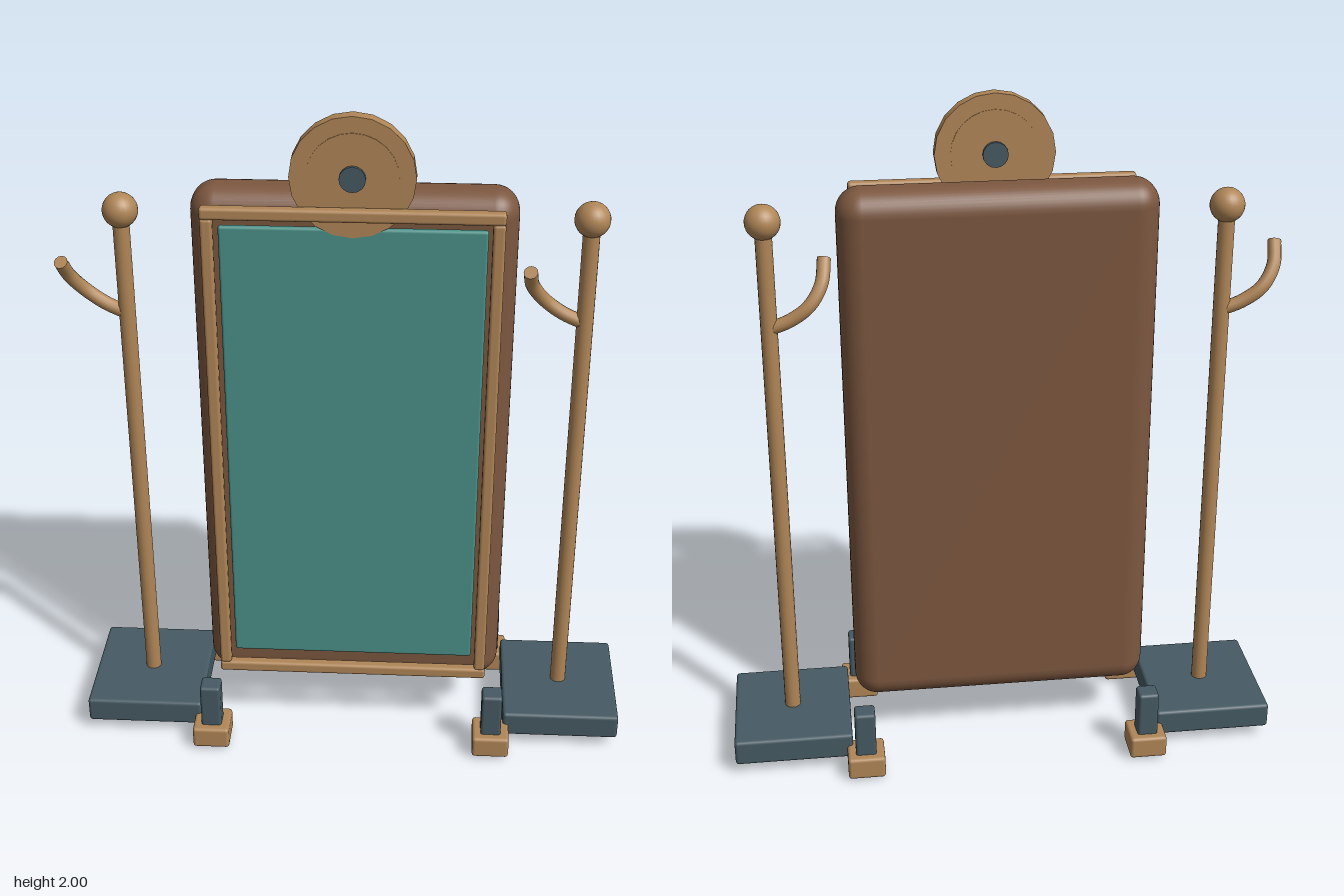
import * as THREE from 'three';
import { RoundedBoxGeometry } from 'three/addons/geometries/RoundedBoxGeometry.js';

const material = (name, color) => {
  const m = new THREE.MeshStandardMaterial({ color });
  m.name = name;
  return m;
};

export function createModel() {
  const wood = material('light wood', 0xb08657);
  const brown = material('dark wood', 0x7c573f);
  const slate = material('slate', 0x465a63);
  const teal = material('teal glass', 0x4a9188);
  const model = new THREE.Group();
  model.name = 'standingMirror';

  const add = (name, geometry, mat, x = 0, y = 0, z = 0, parent = model) => {
    const mesh = new THREE.Mesh(geometry, mat);
    mesh.name = name;
    mesh.position.set(x, y, z);
    parent.add(mesh);
    return mesh;
  };
  const box = (w, h, d, r, seg = 2) => new RoundedBoxGeometry(w, h, d, seg, r);
  const disc = (r, depth, sides) =>
    new THREE.CylinderGeometry(r, r, depth, sides).rotateX(Math.PI / 2);

  // Padded back panel and glass
  add('backPanel', box(0.9, 1.615, 0.16, 0.07, 5), brown, 0, 0.9625, 0);
  add('glass', box(0.73, 1.415, 0.02, 0.008), teal, 0, 0.977, 0.1);

  // Frame bars around the glass
  for (const y of [0.228, 1.732])
    add('frameRail', box(0.82, 0.035, 0.033, 0.009), wood, 0, y, 0.128);
  for (const s of [-1, 1])
    add('frameStile', box(0.034, 1.475, 0.033, 0.009), wood, s * 0.392, 0.98, 0.128);

  // Round crest with a raised face and a knob
  add('crest', disc(0.17, 0.04, 20), wood, 0, 1.83, 0.093);
  add('crestFace', disc(0.125, 0.044, 24), wood, 0, 1.83, 0.093);
  add('crestKnob', disc(0.036, 0.066, 16), slate, 0, 1.83, 0.092);

  // Feet: a peg passing through a block at each corner
  for (const sx of [-1, 1]) for (const sz of [-1, 1]) {
    const foot = new THREE.Group();
    foot.name = 'foot';
    foot.position.set(sx * 0.432, 0, sz * 0.216);
    model.add(foot);
    add('footBlock', box(0.112, 0.07, 0.112, 0.01), wood, 0, 0.043, 0, foot);
    add('footPeg', box(0.062, 0.218, 0.062, 0.009), slate, 0, 0.109, 0, foot);
  }

  // Side stands; both hooks point the same way
  const hookPath = new THREE.CatmullRomCurve3([
    [0, 1.37, 0], [-0.06, 1.395, -0.006], [-0.115, 1.435, -0.006],
    [-0.152, 1.49, 0.02], [-0.163, 1.55, 0.065],
  ].map((p) => new THREE.Vector3(...p)));
  for (const s of [-1, 1]) {
    const stand = new THREE.Group();
    stand.name = s > 0 ? 'leftStand' : 'rightStand';
    stand.position.x = s * 0.648;
    model.add(stand);
    add('standBase', box(0.356, 0.08, 0.39, 0.01), slate, 0, 0.076, 0, stand);
    add('standPost', new THREE.CylinderGeometry(0.024, 0.024, 1.63, 16), wood, 0, 0.837, 0, stand);
    add('standBall', new THREE.SphereGeometry(0.05, 24, 16), wood, 0, 1.682, 0, stand);
    add('hook', new THREE.TubeGeometry(hookPath, 24, 0.02, 12), wood, 0, 0, 0, stand);
    const cap = add('hookCap', new THREE.CircleGeometry(0.02, 12), wood, 0, 0, 0, stand);
    cap.position.copy(hookPath.getPoint(1));
    cap.quaternion.setFromUnitVectors(new THREE.Vector3(0, 0, 1), hookPath.getTangent(1));
  }
  return model;
}
